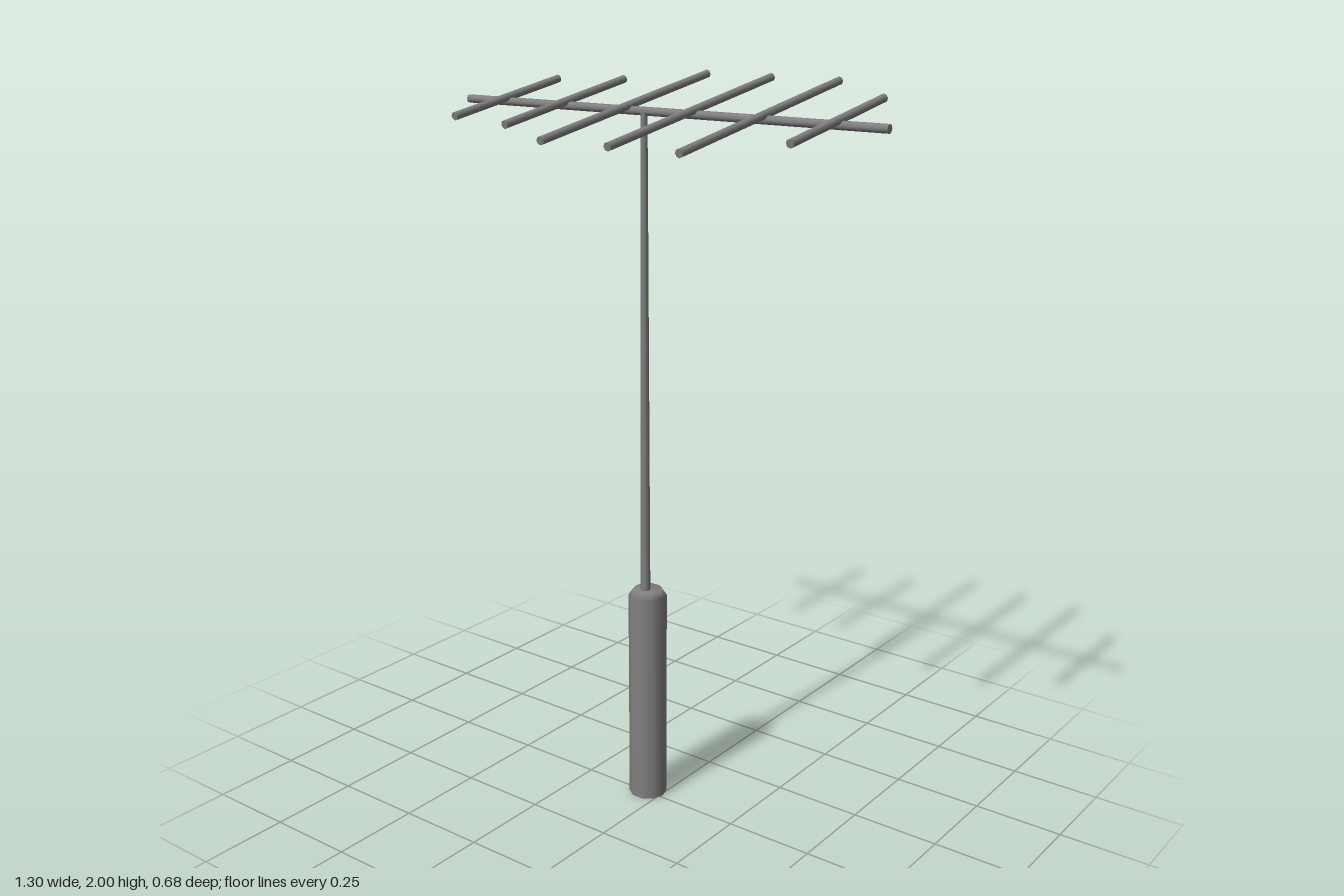
import * as THREE from 'three';

export function createModel() {
  const model = new THREE.Group();
  const material = new THREE.MeshStandardMaterial({ color: 0x808080 });
  const mastX = -0.046;

  // Base post: hollow below, with a softly rounded closed top
  const profile = [[0.053, 0], [0.053, 0.608], [0.041, 0.626], [0, 0.627]];
  const postGeometry = new THREE.LatheGeometry(profile.map(([r, y]) => new THREE.Vector2(r, y)), 10);
  postGeometry.rotateY(Math.PI / 2);
  const postMaterial = material.clone();
  postMaterial.side = THREE.DoubleSide;
  const post = new THREE.Mesh(postGeometry, postMaterial);
  post.name = 'basePost';
  post.position.set(mastX, 0, -0.01);
  model.add(post);

  // Tapered mast
  const mast = new THREE.Mesh(new THREE.CylinderGeometry(0.009, 0.014, 1.31, 8), material);
  mast.name = 'mast';
  mast.position.set(mastX - 0.001, 1.265, -0.001);
  model.add(mast);

  // Horizontal boom
  const boom = new THREE.Mesh(new THREE.CylinderGeometry(0.011, 0.011, 1.3, 8), material);
  boom.name = 'boom';
  boom.rotation.z = Math.PI / 2;
  boom.position.set(0, 1.918, -0.004);
  model.add(boom);

  // Cross rods, tilted up towards the back
  const tilt = THREE.MathUtils.degToRad(9.8);
  const rods = new THREE.Group();
  rods.name = 'crossRods';
  rods.position.set(0, 1.93, -0.001);
  rods.rotation.x = tilt;
  const halfSpans = [0.205, 0.239, 0.339, 0.339, 0.339, 0.205];
  halfSpans.forEach((half, i) => {
    const length = 2 * half / Math.cos(tilt);
    const rod = new THREE.Mesh(new THREE.CylinderGeometry(0.011, 0.011, length, 8), material);
    rod.name = 'crossRod' + (i + 1);
    rod.rotation.x = Math.PI / 2;
    rod.position.x = -0.505 + i * 0.2046;
    rods.add(rod);
  });
  model.add(rods);

  return model;
}
